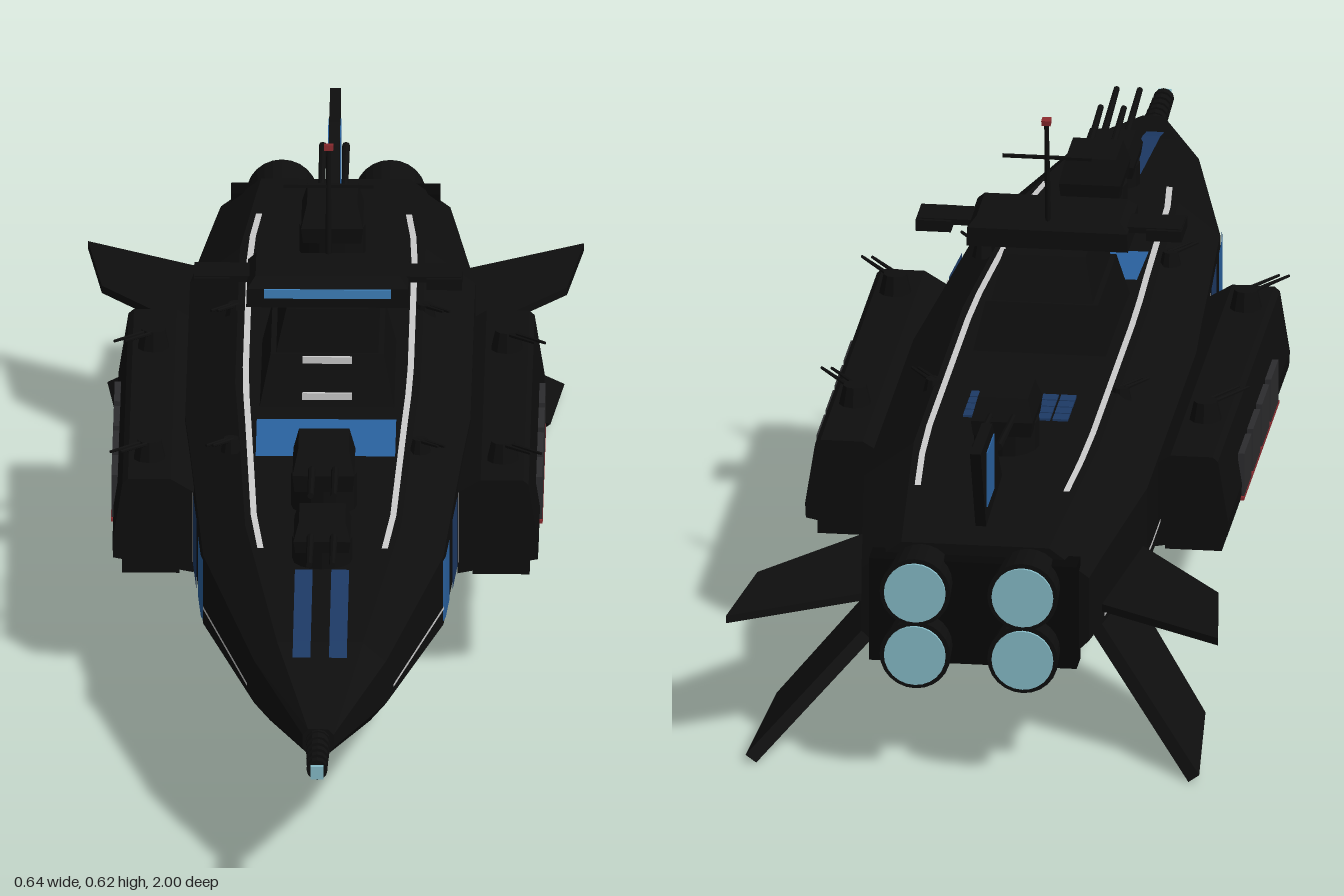
import * as THREE from 'three';

const mat = (color, side = THREE.FrontSide) =>
  new THREE.MeshStandardMaterial({ color, side, flatShading: true });
const BLACK = mat(0x0e0e0e), DARK = mat(0x060606), GREY = mat(0x2c2c2e);
const BLUE = mat(0x2a62a0, THREE.DoubleSide), NAVY = mat(0x1d3a66, THREE.DoubleSide);
const WHITE = mat(0xd8d8d8, THREE.DoubleSide), GLOW = mat(0x86bcc8), RED = mat(0x8a2a2e);
const SKY = mat(0x3f82bd);

// Hull stations: z, half width, bottom y, top y
const HULL = [
  [0.88, 0.02, 0.185, 0.217], [0.68, 0.085, 0.155, 0.262], [0.35, 0.155, 0.127, 0.300],
  [0, 0.176, 0.12, 0.318], [-0.12, 0.184, 0.12, 0.322], [-0.62, 0.184, 0.12, 0.322],
  [-0.86, 0.156, 0.137, 0.308], [-0.93, 0.148, 0.142, 0.302],
];
function station(z) {
  let i = 0;
  while (i < HULL.length - 2 && z < HULL[i + 1][0]) i++;
  const a = HULL[i], b = HULL[i + 1], t = (z - a[0]) / (b[0] - a[0]);
  return a.map((v, k) => v + (b[k] - v) * t);
}

export function createModel() {
  const root = new THREE.Group();
  const add = (name, geo, m, x = 0, y = 0, z = 0, parent = root) => {
    const mesh = new THREE.Mesh(geo, m);
    mesh.name = name;
    mesh.position.set(x, y, z);
    parent.add(mesh);
    return mesh;
  };
  const box = (name, w, h, d, m, x, y, z, parent) =>
    add(name, new THREE.BoxGeometry(w, h, d), m, x, y, z, parent);

  // Solid skinned over matching loops of [x, y, z], with capped ends
  function loft(name, loops, m, parent) {
    const tris = [], n = loops[0].length, last = loops.length - 1;
    for (let s = 0; s < last; s++)
      for (let i = 0; i < n; i++) {
        const j = (i + 1) % n, a = loops[s], b = loops[s + 1];
        tris.push([a[i], a[j], b[j]], [a[i], b[j], b[i]]);
      }
    for (let i = 1; i < n - 1; i++) {
      tris.push([loops[0][0], loops[0][i + 1], loops[0][i]]);
      tris.push([loops[last][0], loops[last][i], loops[last][i + 1]]);
    }
    const v = (p) => new THREE.Vector3(...p);
    const volume = tris.reduce((sum, [a, b, c]) => sum + v(a).dot(v(b).cross(v(c))), 0);
    if (volume < 0) tris.forEach((t) => t.reverse());
    const geo = new THREE.BufferGeometry();
    geo.setAttribute('position', new THREE.Float32BufferAttribute(tris.flat(2), 3));
    geo.computeVertexNormals();
    return add(name, geo, m, 0, 0, 0, parent);
  }
  // Tapered block; each end is [y, half width, z back, z front]
  const rect = ([y, w, z0, z1]) => [[-w, y, z0], [w, y, z0], [w, y, z1], [-w, y, z1]];
  const block = (name, ends, m, parent) => loft(name, ends.map(rect), m, parent);

  // Thin strip lying on the hull between two edge rules of z
  function strip(name, z0, z1, edgeA, edgeB, m) {
    const pos = [], idx = [], N = 12;
    for (let i = 0; i <= N; i++) {
      const z = z0 + ((z1 - z0) * i) / N;
      pos.push(...edgeA(z), ...edgeB(z));
      if (i < N) idx.push(2 * i, 2 * i + 1, 2 * i + 2, 2 * i + 1, 2 * i + 3, 2 * i + 2);
    }
    const geo = new THREE.BufferGeometry();
    geo.setAttribute('position', new THREE.Float32BufferAttribute(pos, 3));
    geo.setIndex(idx);
    geo.computeVertexNormals();
    add(name, geo, m);
  }
  const deck = (x) => (z) => [x, station(z)[3] + 0.003, z];
  const flank = (s, y) => (z) => [s * (station(z)[1] + 0.003), y, z];

  // Hull
  loft('hull', HULL.map(([z, w, b, t]) => {
    const lo = b + (t - b) * 0.22, hi = b + (t - b) * 0.76;
    return [[-0.76 * w, b, z], [0.76 * w, b, z], [w, lo, z], [w, hi, z],
      [0.65 * w, t, z], [-0.65 * w, t, z], [-w, hi, z], [-w, lo, z]];
  }), BLACK);
  box('keelPanel', 0.16, 0.006, 0.16, GREY, 0, 0.119, -0.05);

  // Ribbed bow emitter
  const rod = (r0, r1, h, n = 12) => new THREE.CylinderGeometry(r1, r0, h, n).rotateX(Math.PI / 2);
  add('bowRod', rod(0.016, 0.007, 0.13), BLACK, 0, 0.201, 0.925);
  for (let i = 0; i < 6; i++)
    add('bowRing', rod(0.016 - i * 0.0005, 0.016 - i * 0.0005, 0.012), BLACK, 0, 0.201, 0.88 + i * 0.0205);
  box('bowTip', 0.017, 0.017, 0.008, GLOW, 0, 0.201, 0.996);

  // Stern block and four engines
  box('sternBlock', 0.27, 0.14, 0.04, DARK, 0, 0.217, -0.935);
  for (const x of [-0.07, 0.07]) for (const y of [0.172, 0.258]) {
    add('engine', rod(0.046, 0.042, 0.07, 24), BLACK, x, y, -0.961);
    add('engineGlow', rod(0.04, 0.04, 0.006, 24), GLOW, x, y, -0.997);
  }

  // Superstructure tiers, bridge and mast
  block('lowerTier', [[0.315, 0.088, -0.28, -0.035], [0.383, 0.073, -0.255, -0.065]], BLACK);
  block('upperTier', [[0.383, 0.066, -0.25, -0.068], [0.437, 0.053, -0.225, -0.085]], BLACK);
  block('bridge', [[0.437, 0.105, -0.2, -0.09], [0.462, 0.104, -0.2, -0.09], [0.475, 0.093, -0.19, -0.105]], BLACK);
  box('bridgeWindow', 0.164, 0.012, 0.004, SKY, 0, 0.456, -0.089);
  box('upperLights', 0.064, 0.009, 0.004, WHITE, 0, 0.376, -0.06);
  box('lowerLights', 0.064, 0.009, 0.004, WHITE, 0, 0.333, -0.042);
  for (const s of [-1, 1]) {
    box('bridgeWing', 0.08, 0.008, 0.05, BLACK, s * 0.132, 0.461, -0.155);
    box('wingLookout', 0.046, 0.015, 0.06, BLACK, s * 0.15, 0.456, -0.155);
  }
  const mast = new THREE.Group();
  mast.name = 'mast';
  mast.position.set(0, 0.47, -0.188);
  mast.rotation.x = -0.12;
  root.add(mast);
  add('mastPole', new THREE.CylinderGeometry(0.003, 0.004, 0.144, 8), BLACK, 0, 0.072, 0, mast);
  box('mastCrossbar', 0.116, 0.004, 0.004, BLACK, 0, 0.094, 0, mast);
  box('mastLamp', 0.012, 0.007, 0.012, RED, 0, 0.146, 0, mast);

  // Twin gun turret: dir is the z direction of fire, up is 1 on deck or -1 under the keel
  function turret(name, z, y, h, size, len, dir, up) {
    const g = new THREE.Group();
    g.name = name;
    g.position.set(0, y, z);
    root.add(g);
    add('turretBase', new THREE.CylinderGeometry(size * 0.85, size * 0.85, h * 0.5, 16), BLACK, 0, up * h * 0.25, 0, g);
    block('turretHouse', [[up * h * 0.4, size * 0.75, -size, size], [up * h * 0.65, size * 0.8, -size * 1.05, size * 1.05],
      [up * h, size * 0.65, -size * 0.8, size * 0.7]], BLACK, g);
    for (const x of [-0.015, 0.015]) {
      const barrel = add('barrel', rod(0.005, 0.004, len, 8), BLACK,
        x, up * h * 0.72 + up * 0.05 * len, dir * (size * 0.8 + len / 2), g);
      barrel.rotation.x = -dir * up * 0.1;
    }
  }
  turret('foreTurret', 0.44, 0.288, 0.063, 0.046, 0.15, 1, 1);
  turret('secondTurret', 0.285, 0.305, 0.09, 0.05, 0.14, 1, 1);
  turret('aftTurret', -0.61, 0.318, 0.082, 0.05, 0.16, -1, 1);
  turret('keelTurretFore', 0.16, 0.125, 0.045, 0.038, 0.11, 1, -1);
  turret('keelTurretAft', -0.23, 0.125, 0.055, 0.04, 0.12, 1, -1);

  // Light guns with a fan of thin barrels
  function lightGun(x, y, z, s, size) {
    const g = new THREE.Group();
    g.name = 'lightGun';
    g.position.set(x, y, z);
    root.add(g);
    add('gunMount', new THREE.CylinderGeometry(size * 0.7, size, size * 1.3, 10), BLACK, 0, size * 0.5, 0, g);
    for (const k of [-1, 1]) {
      const b = add('gunBarrel', rod(0.003, 0.002, size * 3, 6), BLACK, s * size + k * size * 0.3, size * 1.1, size * 1.2, g);
      b.rotation.set(-0.1, s * 0.7, 0);
    }
  }

  for (const s of [-1, 1]) {
    // Side pod
    const pod = [[0.17, 0.15], [0.274, 0.17], [0.275, 0.19], [0.262, 0.272], [0.255, 0.278], [0.2, 0.278], [0.17, 0.26]];
    loft('sidePod', [-0.51, 0.12].map((z) => pod.map(([x, y]) => [s * x, y, z])), BLACK);
    box('podUnderside', 0.074, 0.034, 0.57, BLACK, s * 0.226, 0.155, -0.195);
    for (let i = 0; i < 4; i++)
      box('podPanel', 0.008, 0.058, 0.074, GREY, s * 0.274, 0.202, -0.058 - i * 0.091);
    box('podRedLine', 0.008, 0.004, 0.36, RED, s * 0.2745, 0.171, -0.195);
    for (const z of [0.04, -0.37]) lightGun(s * 0.228, 0.278, z, s, 0.022);
    for (const z of [0.1, -0.4]) lightGun(s * 0.122, 0.312, z, s, 0.014);

    // Horizontal and lower tail fins: outline of points given a thickness
    const finPair = (name, pts, dx, dy) => loft(name, [-1, 1].map((k) =>
      pts.map(([x, y, z]) => [s * (x + k * dx), y + k * dy, z])), BLACK);
    finPair('sideFin', [[0.15, 0.197, -0.6], [0.3, 0.197, -0.8], [0.32, 0.197, -0.965], [0.14, 0.197, -0.85]], 0, 0.005);
    finPair('lowerFin', [[0.135, 0.145, -0.58], [0.272, 0.02, -0.77], [0.288, 0.005, -0.96], [0.135, 0.145, -0.78]], 0.007, 0.005);

    // Painted strips on hull and fin
    strip('deckLine', -0.76, 0.42, (z) => deck(s * 0.6 * station(z)[1])(z), (z) => deck(s * (0.6 * station(z)[1] - 0.008))(z), WHITE);
    strip('bowStripe', 0.48, 0.72, deck(s * 0.012), deck(s * 0.035), NAVY);
    strip('flankSquare', 0.28, 0.365, flank(s, 0.175), flank(s, 0.258), BLUE);
    strip('flankBand', 0.14, 0.23, flank(s, 0.168), flank(s, 0.264), NAVY);
    strip('flankMark', 0.122, 0.132, flank(s, 0.168), flank(s, 0.264), WHITE);
    strip('foreLine', 0.36, 0.65, flank(s, 0.19), flank(s, 0.194), WHITE);
    strip('aftLine', -0.86, -0.51, flank(s, 0.185), flank(s, 0.19), WHITE);
    box('tailFinPanel', 0.003, 0.075, 0.07, BLUE, s * 0.007, 0.37, -0.835);
  }

  // Dorsal fin
  const dorsal = [[0.305, -0.7], [0.425, -0.81], [0.427, -0.93], [0.3, -0.87]];
  loft('dorsalFin', [-0.007, 0.007].map((x) => dorsal.map(([y, z]) => [x, y, z])), BLACK);

  // Deck panel and grid of small cells
  strip('deckPanel', 0.01, 0.13, deck(-0.09), deck(0.09), BLUE);
  for (let i = 0; i < 6; i++) for (let j = 0; j < 4; j++)
    box('deckCell', 0.02, 0.004, 0.02, NAVY, -0.058 + i * 0.0233, 0.323, -0.51 + j * 0.0233);

  return root;
}
